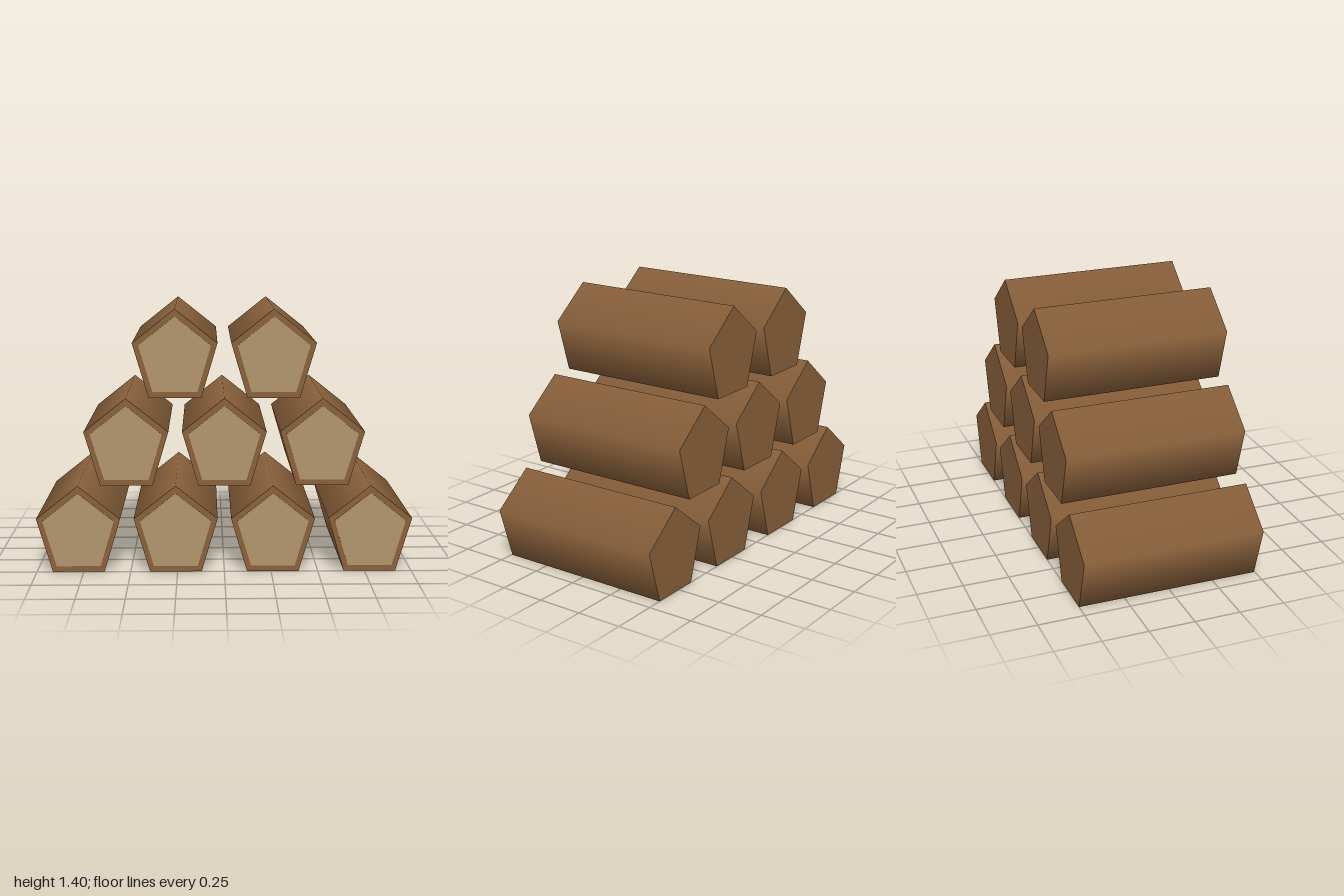
import * as THREE from 'three';

const RADIUS = 0.2345;   // half width is RADIUS * sin(72°)
const STRETCH = 1.097;   // logs are slightly taller than a regular pentagon
const CENTRE_Y = RADIUS * STRETCH * Math.cos(Math.PI / 5);
const STEP_X = 0.518;
const STEP_Y = 0.468;

// Five-sided prism lying along z with one corner pointing up
function pentagonPrism(radius, zBack, zFront) {
  const geometry = new THREE.CylinderGeometry(radius, radius, zFront - zBack, 5);
  geometry.rotateX(-Math.PI / 2);
  geometry.scale(1, STRETCH, 1);
  geometry.translate(0, 0, (zBack + zFront) / 2);
  return geometry;
}

export function createModel() {
  const bark = new THREE.MeshStandardMaterial({ color: 0x8a613b });
  bark.name = 'bark brown';
  const wood = new THREE.MeshStandardMaterial({ color: 0xb2946c });
  wood.name = 'cut wood';

  const logGeometry = pentagonPrism(RADIUS, -0.5, 0.496);
  const faceGeometry = pentagonPrism(RADIUS * 0.85, 0.492, 0.5);

  const stack = new THREE.Group();
  stack.name = 'logStack';

  // Three rows of four, three and two logs
  [4, 3, 2].forEach((count, row) => {
    for (let i = 0; i < count; i++) {
      const log = new THREE.Group();
      log.name = `log row ${row + 1} number ${i + 1}`;

      const body = new THREE.Mesh(logGeometry, bark);
      body.name = 'logBody';
      const face = new THREE.Mesh(faceGeometry, wood);
      face.name = 'cutFace';
      log.add(body, face);

      log.position.set((i - (count - 1) / 2) * STEP_X, CENTRE_Y + row * STEP_Y, 0);
      stack.add(log);
    }
  });
  return stack;
}
